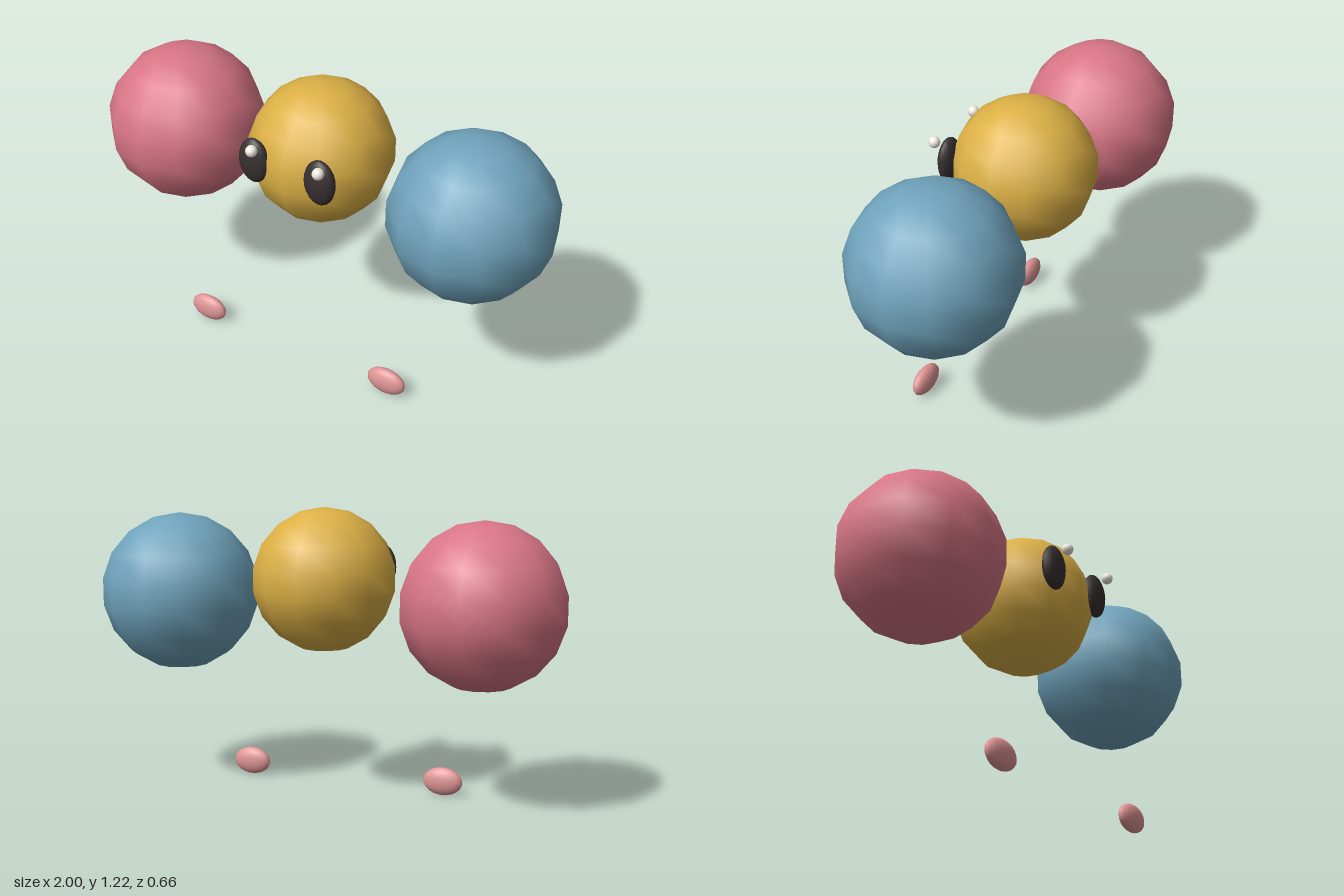
import * as THREE from 'three';

const mat = (color) => new THREE.MeshStandardMaterial({ color });

// Ellipsoid with half-sizes [x, y, z] at a position
function ball(name, material, radii, position, across = 12, down = 9) {
  const geometry = new THREE.SphereGeometry(1, across, down);
  geometry.scale(...radii);
  const mesh = new THREE.Mesh(geometry, material);
  mesh.name = name;
  mesh.position.set(...position);
  return mesh;
}

export function createModel() {
  const model = new THREE.Group();
  model.name = 'ballTrio';

  const yellow = mat(0xdcb045);
  const pink = mat(0xd87585);
  const blue = mat(0x6fa3bc);
  const dark = mat(0x383030);
  const white = mat(0xf0ece0);
  const rose = mat(0xe09595);

  // Three coarse, smooth-shaded balls
  model.add(ball('head', yellow, [0.296, 0.296, 0.296], [0, 0.921, 0]));
  model.add(ball('rightBall', pink, [0.335, 0.335, 0.335], [-0.67, 0.845, 0]));
  model.add(ball('leftBall', blue, [0.335, 0.335, 0.335], [0.67, 0.845, 0]));

  for (const [side, s] of [['left', 1], ['right', -1]]) {
    // Flattened eyes, with highlights both shifted the same way
    model.add(ball(side + 'Eye', dark, [0.068, 0.098, 0.036], [s * 0.149, 0.957, 0.259], 16, 12));
    model.add(ball(side + 'EyeHighlight', white, [0.024, 0.024, 0.024], [s * 0.149 + 0.025, 1.035, 0.311], 12, 9));
    // Small floating cheek-like feet
    model.add(ball(side + 'Foot', rose, [0.086, 0.06, 0.034], [s * 0.447, 0.062, 0.223], 16, 12));
  }
  return model;
}
